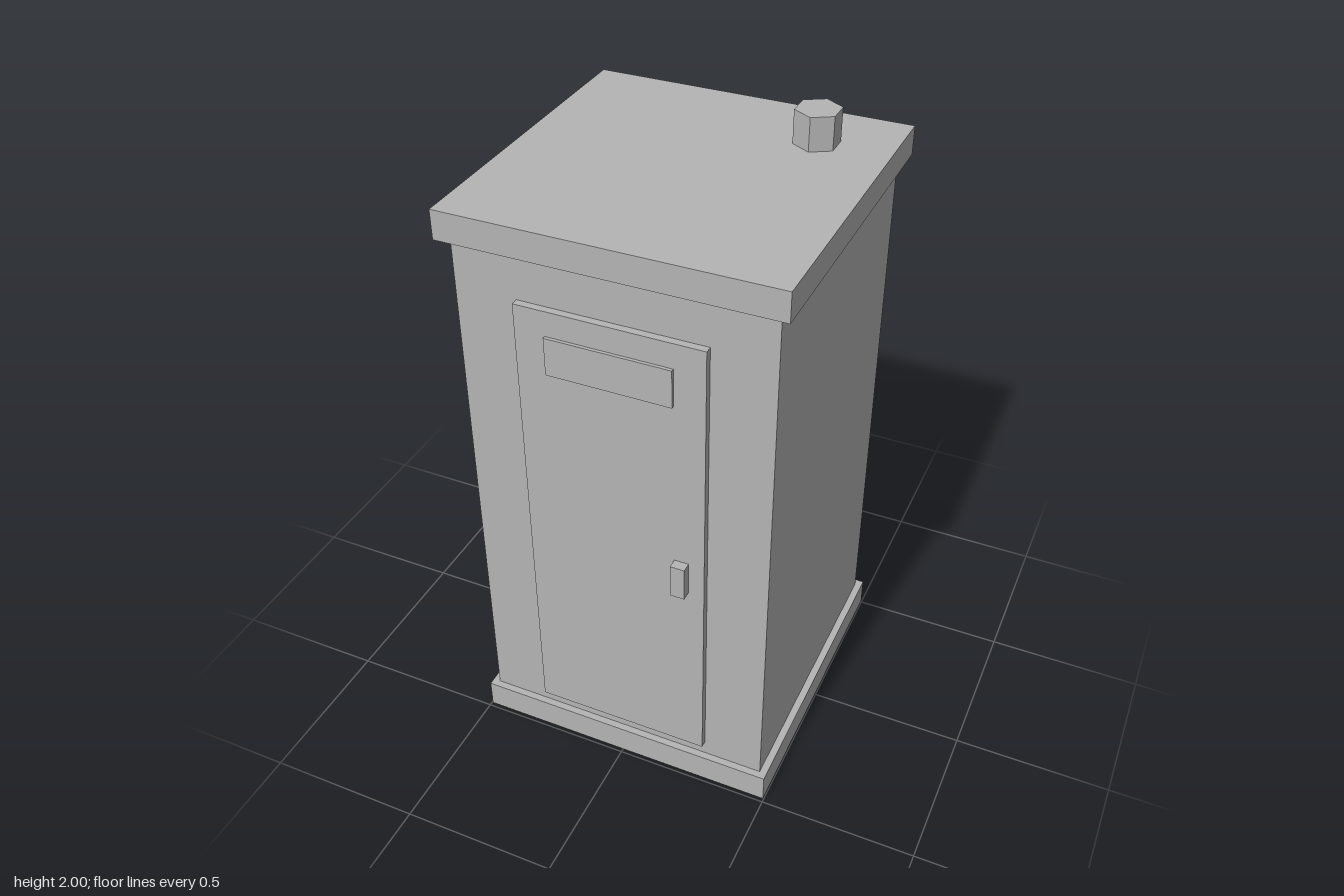
import * as THREE from 'three';

export function createModel() {
  const group = new THREE.Group();
  const grey = new THREE.MeshStandardMaterial({ color: 0xb4b4b4 });
  grey.name = 'plain grey';

  // Adds a box from its extents along each axis
  function box(name, [x0, x1], [y0, y1], [z0, z1]) {
    const mesh = new THREE.Mesh(new THREE.BoxGeometry(x1 - x0, y1 - y0, z1 - z0), grey);
    mesh.position.set((x0 + x1) / 2, (y0 + y1) / 2, (z0 + z1) / 2);
    mesh.name = name;
    group.add(mesh);
  }

  // Plinth, cabin and overhanging flat roof
  box('base', [-0.497, 0.497], [0, 0.095], [-0.507, 0.487]);
  box('cabin', [-0.474, 0.474], [0.095, 1.805], [-0.484, 0.464]);
  box('roof', [-0.507, 0.507], [1.805, 1.896], [-0.518, 0.497]);

  // Door with its vent panel and handle, all on the front
  box('door', [-0.284, 0.284], [0.147, 1.657], [0.464, 0.487]);
  box('doorVent', [-0.19, 0.19], [1.458, 1.578], [0.487, 0.497]);
  box('handle', [0.19, 0.235], [0.8, 0.912], [0.487, 0.518]);

  // Six-sided vent pipe on the roof
  const pipe = new THREE.Mesh(
    new THREE.CylinderGeometry(0.07, 0.07, 0.104, 6).toNonIndexed(), grey);
  pipe.geometry.computeVertexNormals();
  pipe.position.set(0.283, 1.948, -0.297);
  pipe.name = 'ventPipe';
  group.add(pipe);

  return group;
}
